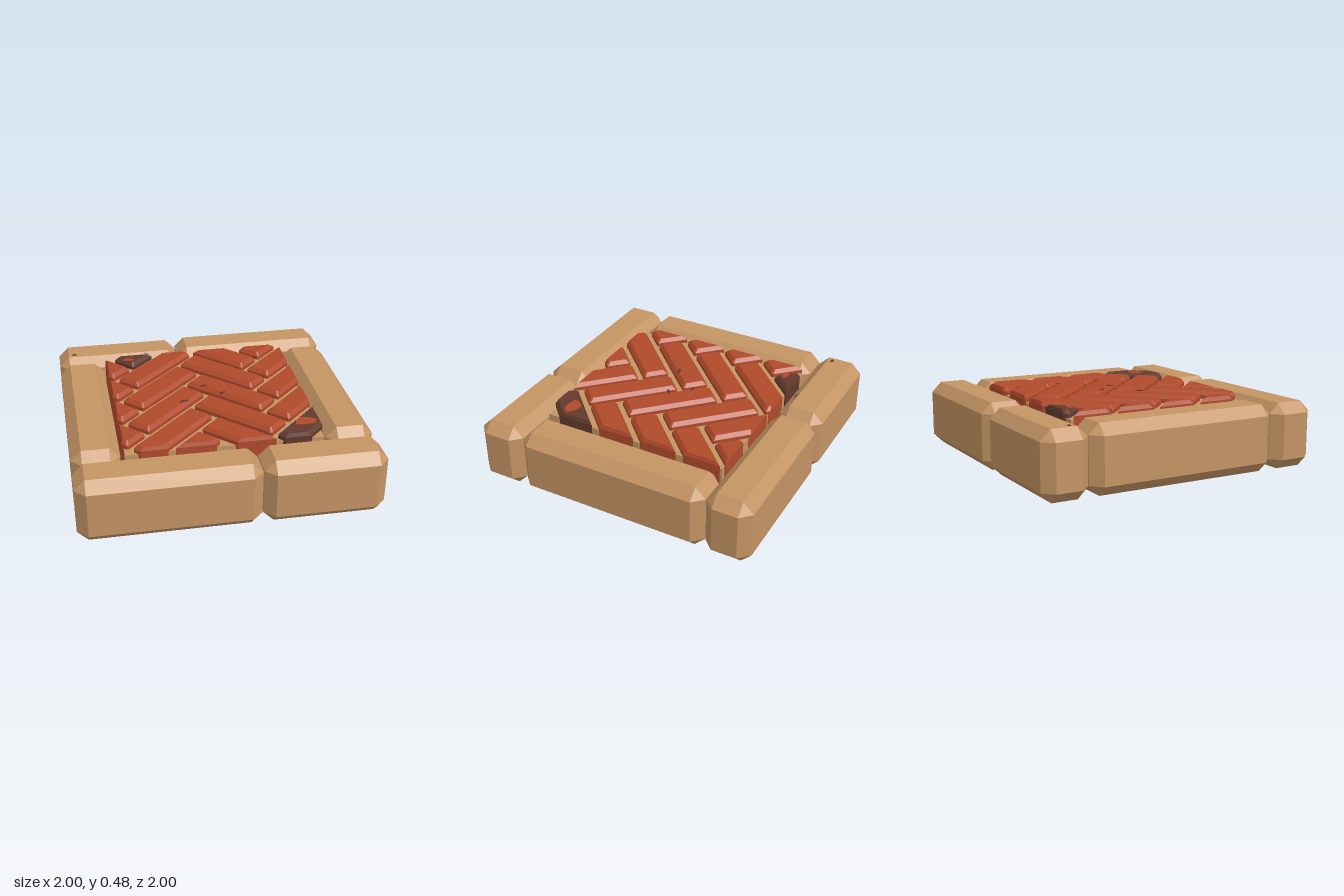
import * as THREE from 'three';
import { ConvexGeometry } from 'three/addons/geometries/ConvexGeometry.js';

const mat = (name, color) => {
  const m = new THREE.MeshStandardMaterial({ color });
  m.name = name;
  return m;
};

// Box between two corners with every edge and corner chamfered
function chamferBox(min, max, c) {
  const mid = min.map((v, i) => (v + max[i]) / 2);
  const half = min.map((v, i) => (max[i] - v) / 2);
  const pts = [];
  for (let axis = 0; axis < 3; axis++)
    for (const sx of [-1, 1]) for (const sy of [-1, 1]) for (const sz of [-1, 1]) {
      const p = [sx, sy, sz].map((s, i) => mid[i] + s * (half[i] - (i === axis ? 0 : c)));
      pts.push(new THREE.Vector3(...p));
    }
  return new ConvexGeometry(pts);
}

// Clip a convex polygon of [x, z] points to a square of half size h
function clipToSquare(poly, h) {
  for (const axis of [0, 1]) for (const s of [-1, 1]) {
    const out = [];
    poly.forEach((a, i) => {
      const b = poly[(i + 1) % poly.length];
      const da = h - s * a[axis], db = h - s * b[axis];
      if (da >= 0) out.push(a);
      if (da * db < 0) {
        const t = da / (da - db);
        out.push([a[0] + (b[0] - a[0]) * t, a[1] + (b[1] - a[1]) * t]);
      }
    });
    poly = out;
  }
  return poly;
}

const area = (p) => Math.abs(p.reduce((s, a, i) => {
  const b = p[(i + 1) % p.length];
  return s + a[0] * b[1] - b[0] * a[1];
}, 0)) / 2;

// Diagonal rectangle with nipped corners; dir = 1 runs down-right, -1 up-right
function diagonalBrick(cx, cz, dir, len, wid) {
  const l = len / 2, w = wid / 2, n = 0.01, r = Math.SQRT1_2;
  return [[l - n, w], [l, w - n], [l, n - w], [l - n, -w], [n - l, -w], [-l, n - w], [-l, w - n], [n - l, w]]
    .map(([u, v]) => [cx + (u - v * dir) * r, cz + (u * dir + v) * r]);
}

// Flat irregular chip, lying in the ground plane
function chipGeometry(rx, rz) {
  const radii = [1, 0.75, 0.95, 0.8, 1, 0.7, 0.9];
  const shape = new THREE.Shape(radii.map((k, i) => {
    const a = (i / radii.length) * Math.PI * 2;
    return new THREE.Vector2(Math.cos(a) * rx * k, Math.sin(a) * rz * k);
  }));
  return new THREE.ExtrudeGeometry(shape, { depth: 0.004, bevelEnabled: false }).rotateX(-Math.PI / 2);
}

export function createModel() {
  const root = new THREE.Group();
  root.name = 'pavedTile';
  const stone = mat('tan stone', 0xc49464);
  const brick = mat('red brick', 0xb04a2b);
  const dark = mat('dark brick', 0x623a2d);
  const add = (name, geo, material, parent = root) => {
    const m = new THREE.Mesh(geo, material);
    m.name = name;
    parent.add(m);
    return m;
  };

  // Border of six chamfered stones
  const border = new THREE.Group();
  border.name = 'border';
  root.add(border);
  const blocks = [
    ['frontLongStone', -1, 0.185, 0.675, 1, 0.455],
    ['frontShortStone', 0.19, 1, 0.675, 1, 0.46],
    ['backShortStone', -1, -0.11, -1, -0.685, 0.455],
    ['backLongStone', -0.105, 1, -1, -0.685, 0.465],
    ['rightSideStone', -1, -0.68, -0.68, 0.67, 0.46],
    ['leftSideStone', 0.68, 1, -0.68, 0.67, 0.46],
  ];
  for (const [name, x0, x1, z0, z1, top] of blocks)
    add(name, chamferBox([x0, 0.008, z0], [x1, top, z1], 0.07), stone, border);

  // Mortar bed seen between the bricks
  add('mortarBed', new THREE.BoxGeometry(1.31, 0.16, 1.31).translate(0, 0.35, 0), stone);

  // Herringbone of three-to-one bricks, clipped to the square
  const paving = new THREE.Group();
  paving.name = 'herringbonePaving';
  root.add(paving);
  const pitch = 0.223, gap = 0.042, bevel = 0.023;
  const colStep = pitch * 3 * Math.SQRT1_2, rowStep = pitch * Math.SQRT2;
  const len = pitch * 3 - gap, wid = pitch - gap;
  for (const dir of [1, -1])
    for (let col = -1; col <= 1; col++)
      for (let row = -4; row <= 5; row++) {
        const cx = 0.158 + col * colStep * 2 - (dir < 0 ? colStep : 0);
        const cz = -0.323 + (row + (dir < 0 ? 0.5 : 0)) * rowStep;
        const outer = clipToSquare(diagonalBrick(cx, cz, dir, len, wid), 0.667);
        const inner = clipToSquare(diagonalBrick(cx, cz, dir, len - 2 * bevel, wid - 2 * bevel), 0.657);
        if (inner.length < 3 || area(inner) < 0.0015) continue;
        const ring = (poly, y) => poly.map(([x, z]) => new THREE.Vector3(x, y, z));
        const geo = new ConvexGeometry([
          ...ring(inner, 0.48), ...ring(outer, 0.455), ...ring(outer, 0.255), ...ring(inner, 0.23),
        ]);
        const isDark = dir < 0 && ((col === 1 && row === 2) || (col === 0 && row === -2));
        add(isDark ? 'darkBrick' : 'redBrick', geo, isDark ? dark : brick, paving);
      }

  // Supporting beam below the paving
  add('supportBeam', chamferBox([-0.665, 0.005, -0.12], [0.665, 0.25, 0.12], 0.035), dark);

  // Chips and stains: x, y, z, radii, turn, tilt, colour
  const chips = [
    [0.56, 0.479, 0.52, 0.085, 0.06, 0.1, 0, brick],
    [-0.5, 0.479, -0.585, 0.045, 0.025, 0, 0, brick],
    [-0.02, 0.479, -0.09, 0.025, 0.013, 0, 0, dark],
    [0.09, 0.479, 0.04, 0.03, 0.014, 0.7, 0, dark],
    [-0.19, 0.479, 0.11, 0.04, 0.014, 0.3, 0, dark],
    [-0.89, 0.454, -0.79, 0.02, 0.015, 0, 0, dark],
    [-0.35, 0.434, -0.734, 0.024, 0.022, 0, Math.PI / 4, dark],
  ];
  for (const [x, y, z, rx, rz, turn, tilt, m] of chips) {
    const c = add('chip', chipGeometry(rx, rz), m);
    c.position.set(x, y, z);
    c.rotation.set(tilt, turn, 0);
  }

  // Worn patches on the back of the beam
  add('beamPatch', new THREE.BoxGeometry(0.17, 0.12, 0.006).translate(-0.54, 0.13, -0.121), brick);
  const spot = add('beamChip', chipGeometry(0.04, 0.03), stone);
  spot.position.set(0.42, 0.13, -0.12);
  spot.rotation.x = -Math.PI / 2;

  return root;
}
